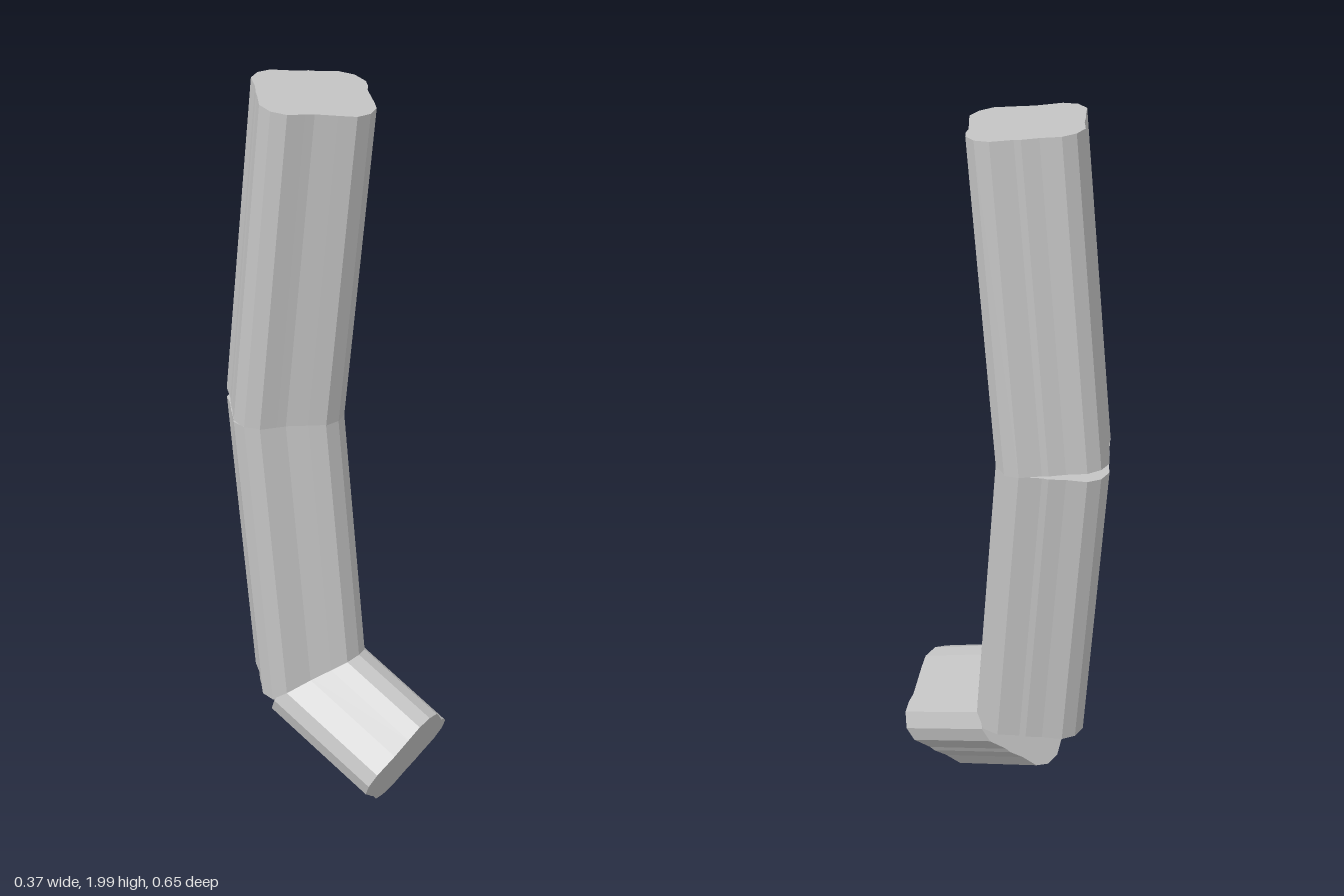
import * as THREE from 'three';

// Rounded diamond cross-section as [x, z] offsets from the beam axis
const SECTION = [
  [0, 0.173], [0.04, 0.162], [0.065, 0.137], [0.1, 0.098], [0.118, 0.078], [0.14, 0.064], [0.161, 0.042],
  [0.174, -0.002], [0.161, -0.042], [0.118, -0.081], [0.108, -0.095], [0.074, -0.123], [0.038, -0.162],
  [0, -0.173], [-0.04, -0.162], [-0.075, -0.122], [-0.106, -0.095], [-0.12, -0.08], [-0.161, -0.042],
  [-0.174, 0.002], [-0.16, 0.042], [-0.125, 0.069], [-0.106, 0.084], [-0.07, 0.128], [-0.04, 0.163],
];

export function createModel() {
  const group = new THREE.Group();
  const grey = new THREE.MeshStandardMaterial({ color: 0xc4c4c4 });
  grey.name = 'plain grey';
  const shape = new THREE.Shape(SECTION.map(([x, z]) => new THREE.Vector2(x, -z)));

  // Straight beam with square-cut ends running between two axis points
  function addBeam(name, from, to) {
    const start = new THREE.Vector3(...from);
    const axis = new THREE.Vector3(...to).sub(start);
    const geometry = new THREE.ExtrudeGeometry(shape, { depth: axis.length(), bevelEnabled: false });
    geometry.rotateX(-Math.PI / 2);
    const beam = new THREE.Mesh(geometry, grey);
    beam.name = name;
    beam.position.copy(start);
    beam.quaternion.setFromUnitVectors(new THREE.Vector3(0, 1, 0), axis.normalize());
    group.add(beam);
  }

  addBeam('upperSegment', [-0.012, 1.116, -0.152], [0.01, 1.983, -0.071]);
  addBeam('middleSegment', [-0.012, 0.318, -0.071], [-0.012, 1.123, -0.152]);
  addBeam('footSegment', [-0.012, 0.165, 0.25], [-0.012, 0.315, -0.065]);
  return group;
}
